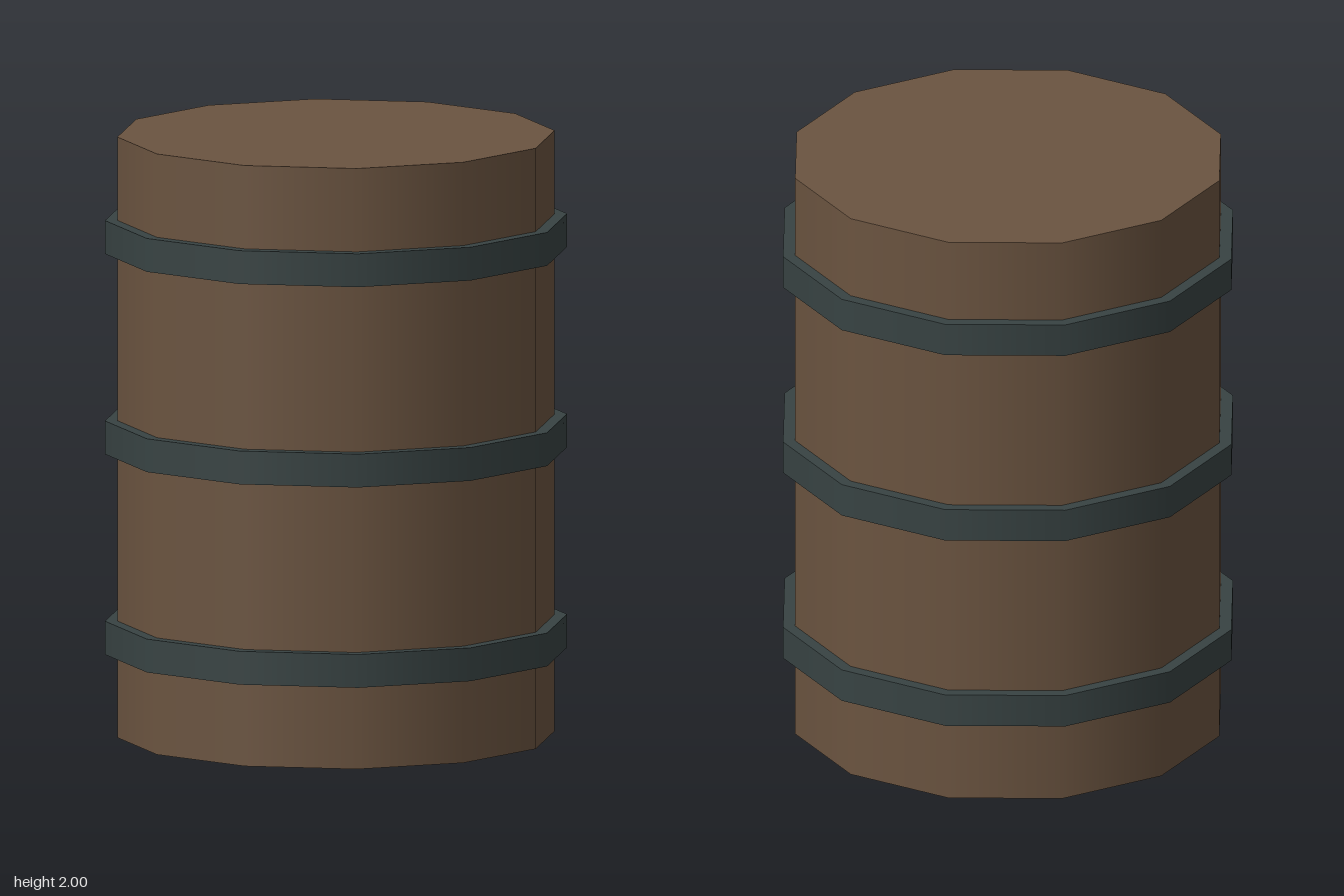
import * as THREE from 'three';

const SIDES = 12;

export function createModel() {
  const barrel = new THREE.Group();
  barrel.name = 'barrel';

  const wood = new THREE.MeshStandardMaterial({ color: 0x6b5440 });
  wood.name = 'brown wood';
  const iron = new THREE.MeshStandardMaterial({ color: 0x384343 });
  iron.name = 'dark iron';

  // Upright twelve-sided drum with smooth sides and flat ends
  function addDrum(name, radius, height, y, material) {
    const mesh = new THREE.Mesh(new THREE.CylinderGeometry(radius, radius, height, SIDES), material);
    mesh.name = name;
    mesh.position.y = y;
    barrel.add(mesh);
  }

  // Wooden body
  addDrum('body', 0.722, 2, 1, wood);

  // Three iron hoops, evenly spaced around the middle
  ['lowerHoop', 'middleHoop', 'upperHoop'].forEach((name, i) => {
    addDrum(name, 0.763, 0.111, 1 + (i - 1) * 0.667, iron);
  });

  return barrel;
}
